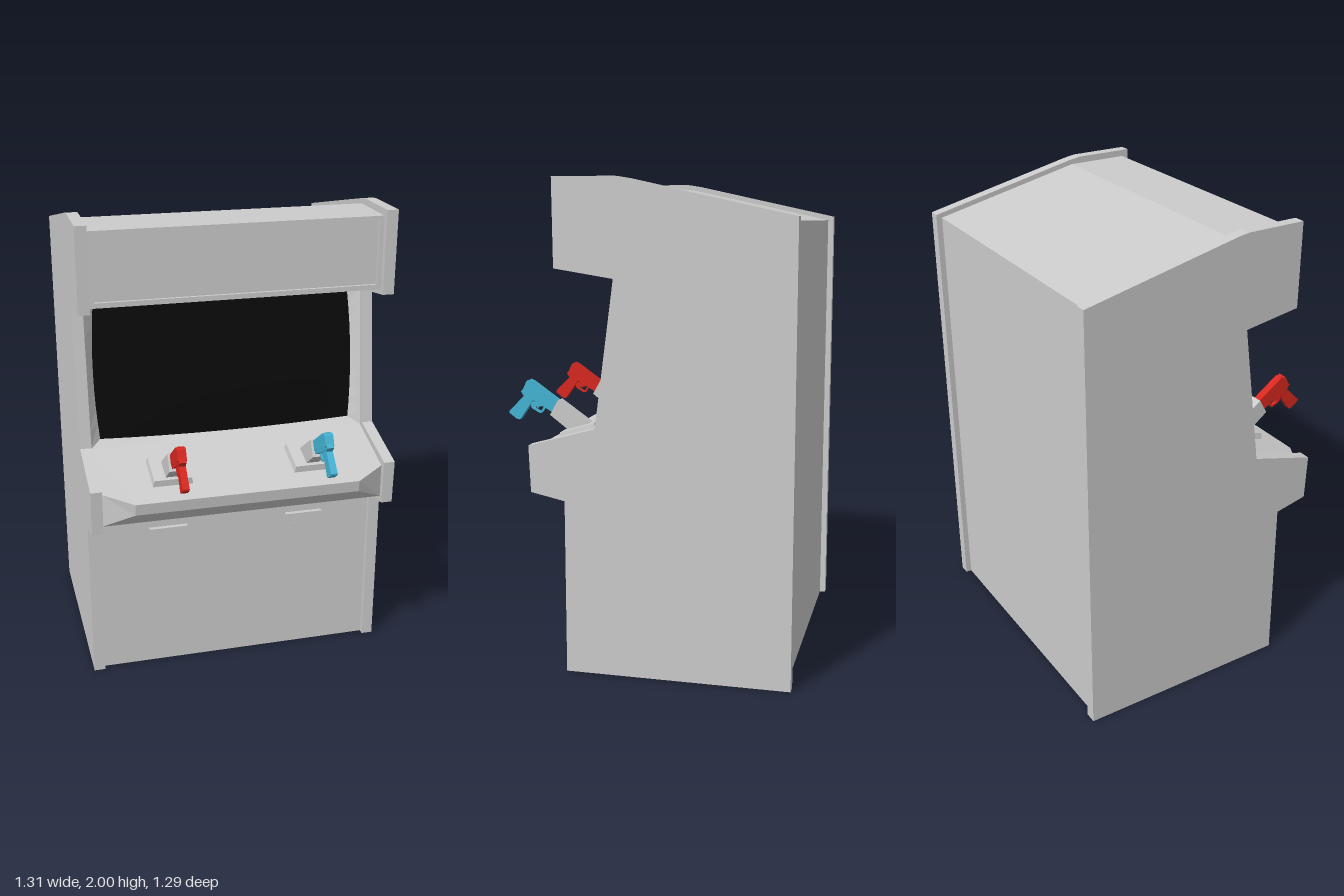
import * as THREE from 'three';

const mat = (color = 0xcccccc) =>
  new THREE.MeshStandardMaterial({ color, flatShading: true, side: THREE.DoubleSide });
const GREY = mat();

function add(parent, name, geometry, material = GREY) {
  const mesh = new THREE.Mesh(geometry, material);
  mesh.name = name;
  parent.add(mesh);
  return mesh;
}

const toShape = (pts) => new THREE.Shape(pts.map(([a, b]) => new THREE.Vector2(a, b)));

// Extrude a [z, y] outline along x, centred on x
function slab(pts, x, width, hole) {
  const shape = toShape(pts);
  if (hole) shape.holes.push(toShape(hole));
  return new THREE.ExtrudeGeometry(shape, { depth: width, bevelEnabled: false })
    .translate(0, 0, -width / 2).rotateY(-Math.PI / 2).translate(x, 0, 0);
}

// Flat quads between successive rows of [x, y, z] points
function skin(rows) {
  const pos = [];
  for (let i = 0; i < rows.length - 1; i++) {
    for (let j = 0; j < rows[i].length - 1; j++) {
      const a = rows[i][j], b = rows[i + 1][j], c = rows[i + 1][j + 1], d = rows[i][j + 1];
      pos.push(...a, ...b, ...c, ...a, ...c, ...d);
    }
  }
  const g = new THREE.BufferGeometry();
  g.setAttribute('position', new THREE.Float32BufferAttribute(pos, 3));
  g.computeVertexNormals();
  return g;
}

const HALF = 0.607; // inner half width between the side panels
const ribbon = (pts) => skin([-HALF, HALF].map((x) => pts.map(([z, y]) => [x, y, z])));

function buildCabinet(group) {
  // Side panels
  const profile = [
    [0.28, 0], [0.28, 0.718], [0.422, 0.748], [0.43, 0.94], [0.15, 1.018], [0.07, 1.61],
    [0.312, 1.648], [0.315, 2], [0.06, 2], [0.01, 1.992], [-0.645, 1.848], [-0.645, 0],
  ];
  for (const s of [1, -1]) {
    add(group, s > 0 ? 'leftSidePanel' : 'rightSidePanel', slab(profile, s * 0.631, 0.048));
  }

  // Front, roof and back sheets, open underneath
  add(group, 'frontPanel', ribbon([[0.255, 0], [0.255, 0.737]]));
  add(group, 'hoodUnderside', ribbon([[0.045, 1.633], [0.285, 1.665]]));
  add(group, 'roofAndBack', ribbon([[0.285, 1.972], [0.02, 1.972], [-0.62, 1.832], [-0.62, 0]]));

  // Framed panel on the hood
  const rect = (w, y0, y1) => [[-w, y0], [w, y0], [w, y1], [-w, y1]];
  const frame = toShape(rect(HALF, 1.665, 1.972));
  frame.holes.push(toShape(rect(0.588, 1.686, 1.956)));
  add(group, 'marqueeFrame', new THREE.ExtrudeGeometry(frame, { depth: 0.015, bevelEnabled: false })
    .translate(0, 0, 0.27));
  add(group, 'marqueePanel', new THREE.PlaneGeometry(1.18, 0.28).translate(0, 1.82, 0.272));

  // Triangular plates on the front panel
  for (const x of [-0.305, 0.305]) {
    const tri = toShape([[x - 0.083, 0.666], [x, 0.522], [x + 0.083, 0.666]]);
    add(group, 'trianglePlate', new THREE.ExtrudeGeometry(tri, { depth: 0.04, bevelEnabled: false })
      .translate(0, 0, 0.235));
  }
}

function buildScreen(group) {
  const tilted = new THREE.Group();
  tilted.name = 'screenAssembly';
  tilted.position.set(0, 1, 0.125);
  tilted.rotation.x = -0.126;
  group.add(tilted);

  // Pillow-shaped bulging tube
  const tube = (u, v) => [
    0.56 * u + 0.014 * u * (1 - v * v),
    0.316 + 0.282 * v + 0.013 * v * (1 - u * u),
    -0.035 + 0.02 * (1 - u * u) * (1 - v * v),
  ];
  const g = new THREE.PlaneGeometry(2, 2, 12, 8);
  const p = g.attributes.position;
  for (let i = 0; i < p.count; i++) p.setXYZ(i, ...tube(p.getX(i), p.getY(i)));
  g.computeVertexNormals();
  const glass = mat(0x0a0a0a);
  glass.flatShading = false;
  add(tilted, 'screen', g, glass);

  // Bezel sloping from a rectangle in to the tube edge
  const corners = [[-1, -1], [1, -1], [1, 1], [-1, 1]];
  const edge = [];
  corners.forEach(([u, v], k) => {
    const [u2, v2] = corners[(k + 1) % 4];
    for (let i = 0; i < 8; i++) edge.push([u + (u2 - u) * i / 8, v + (v2 - v) * i / 8]);
  });
  edge.push(edge[0]);
  const outer = edge.map(([u, v]) => [HALF * u, 0.319 + 0.319 * v, 0]);
  const inner = edge.map(([u, v]) => tube(u, v));
  add(tilted, 'bezel', skin([inner, outer]));
}

function buildDeck(group) {
  // Control deck with chamfered front corners
  const section = (x, front) => [[0.125, 1], ...front, [0.4, 0.77], [0.255, 0.737]]
    .map(([z, y]) => [x, y, z]);
  const end = [[0.4, 0.915], [0.4, 0.77]];
  const mid = [[0.478, 0.89], [0.472, 0.84]];
  add(group, 'controlDeck', skin([
    section(-HALF, end), section(-0.48, mid), section(0.48, mid), section(HALF, end),
  ]));
}

function buildGun(group, x, color, side) {
  const gun = new THREE.Group();
  gun.name = side + 'Gun';
  group.add(gun);

  // Bevelled mounting plate and the arm that holds the muzzle
  const plate = new THREE.BoxGeometry(0.172, 0.032, 0.17);
  const p = plate.attributes.position;
  for (let i = 0; i < p.count; i++) {
    if (p.getY(i) > 0) p.setXYZ(i, p.getX(i) * 0.92, p.getY(i), p.getZ(i) * 0.92);
  }
  plate.computeVertexNormals();
  const base = add(gun, 'mountPlate', plate);
  base.position.set(x, 0.953, 0.31);
  base.rotation.x = 0.29;
  add(gun, 'holsterArm',
    slab([[0.25, 0.955], [0.366, 0.945], [0.452, 1.01], [0.415, 1.075], [0.276, 0.978]], x, 0.056));

  // Toy gun
  const paint = mat(color);
  add(gun, 'slide', slab([[0.415, 1.068], [0.438, 1.032], [0.565, 1.098], [0.578, 1.112], [0.56, 1.15],
    [0.553, 1.155], [0.545, 1.148], [0.535, 1.152]], x, 0.037, null), paint);
  add(gun, 'frame', slab([[0.425, 1.04], [0.437, 1.015], [0.545, 1.075], [0.575, 1.098],
    [0.565, 1.12]], x, 0.032), paint);
  add(gun, 'grip', slab([[0.53, 1.075], [0.553, 1.04], [0.594, 0.982], [0.606, 0.982], [0.642, 1.008],
    [0.643, 1.016], [0.575, 1.085], [0.588, 1.105], [0.575, 1.118]], x, 0.028), paint);
  add(gun, 'triggerGuard', slab([[0.55, 1.06], [0.542, 1.032], [0.506, 1.012], [0.494, 1.014],
    [0.474, 1.045]], x, 0.014, [[0.54, 1.06], [0.534, 1.037], [0.505, 1.021], [0.499, 1.022],
    [0.484, 1.045]]), paint);
  add(gun, 'trigger', slab([[0.525, 1.07], [0.519, 1.034], [0.513, 1.034], [0.512, 1.06]], x, 0.01), paint);
  add(gun, 'rearSight', slab([[0.553, 1.14], [0.545, 1.158], [0.535, 1.152], [0.543, 1.135]], x, 0.024), paint);
}

export function createModel() {
  const group = new THREE.Group();
  group.name = 'arcadeCabinet';
  buildCabinet(group);
  buildScreen(group);
  buildDeck(group);
  buildGun(group, -0.305, 0xd8281f, 'right');
  buildGun(group, 0.305, 0x45b4d4, 'left');
  return group;
}
